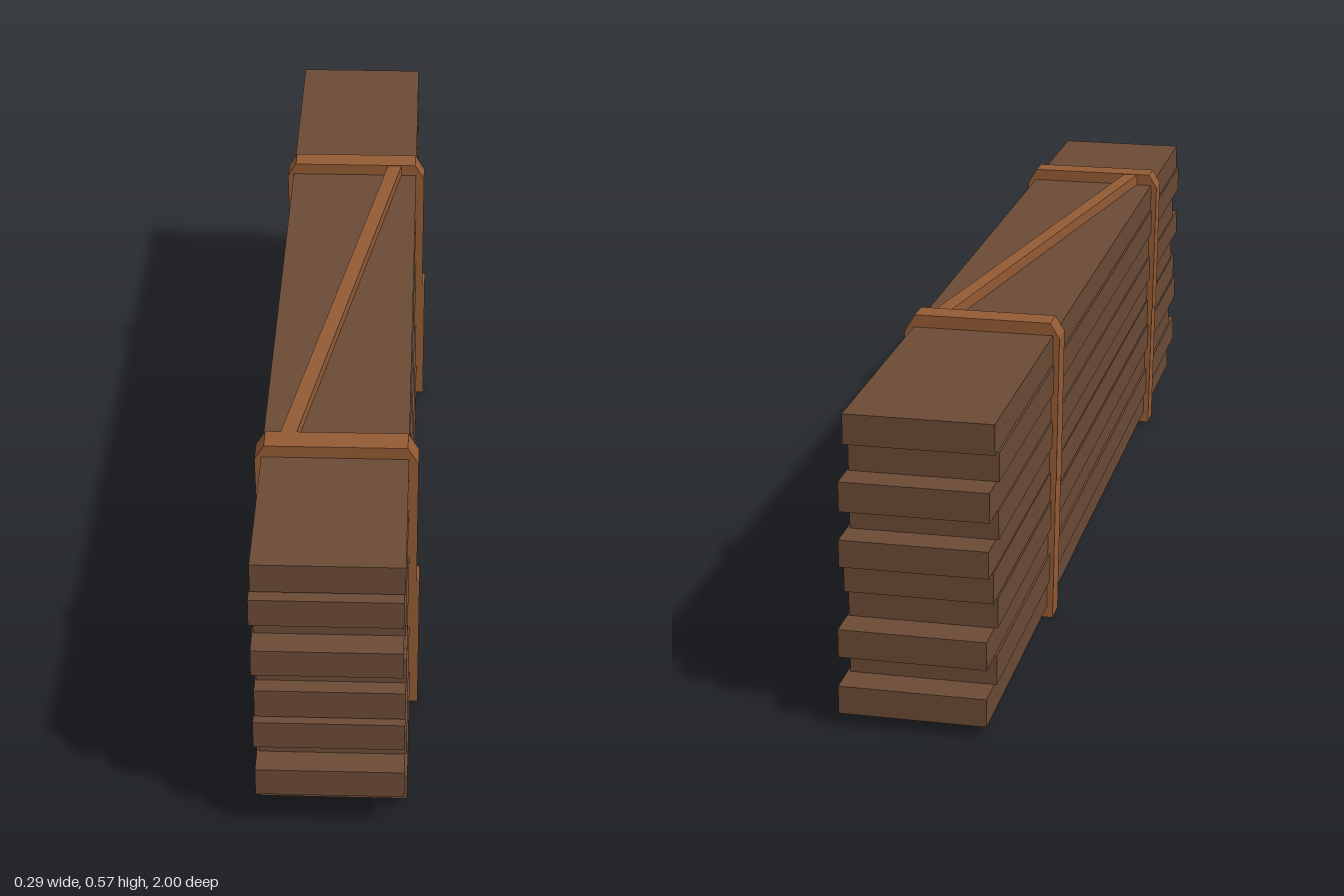
import * as THREE from 'three';

// Planks from bottom to top: [y bottom, y top, x min, x max, z min, z max]
const PLANKS = [
  [0.022, 0.073, -0.127, 0.131, -1.0, 0.94],
  [0.073, 0.127, -0.132, 0.126, -0.94, 0.995],
  [0.127, 0.178, -0.128, 0.129, -1.0, 0.945],
  [0.178, 0.231, -0.134, 0.126, -0.94, 0.995],
  [0.233, 0.288, -0.132, 0.126, -0.965, 0.98],
  [0.288, 0.337, -0.13, 0.127, -0.99, 0.95],
  [0.337, 0.388, -0.135, 0.122, -0.935, 1.0],
  [0.388, 0.441, -0.132, 0.125, -0.99, 0.95],
  [0.441, 0.493, -0.137, 0.122, -0.935, 1.0],
  [0.496, 0.55, -0.135, 0.124, -0.96, 0.98],
];

// Outer outline of a strap, with bevelled top corners and a step on each side
const STRAP_OUTER = [
  [-0.138, 0], [0.146, 0.004], [0.146, 0.28], [0.141, 0.286], [0.141, 0.541],
  [0.122, 0.573], [-0.13, 0.573], [-0.147, 0.545], [-0.143, 0.267], [-0.142, 0.262],
];
const STRAP_INNER = [[-0.125, 0.024], [-0.125, 0.548], [0.12, 0.548], [0.12, 0.024]];

const toVectors = (points) => points.map(([x, y]) => new THREE.Vector2(x, y));

export function createModel() {
  const group = new THREE.Group();
  const wood = new THREE.MeshStandardMaterial({ color: 0x6b4a35 });
  wood.name = 'dark wood';
  const strapping = new THREE.MeshStandardMaterial({ color: 0x935a34 });
  strapping.name = 'orange brown strapping';

  const add = (name, geometry, material) => {
    const mesh = new THREE.Mesh(geometry, material);
    mesh.name = name;
    group.add(mesh);
    return mesh;
  };

  // Stacked planks with uneven ends
  PLANKS.forEach(([y0, y1, x0, x1, z0, z1], i) => {
    const plank = add(`plank${i + 1}`, new THREE.BoxGeometry(x1 - x0, y1 - y0, z1 - z0), wood);
    plank.position.set((x0 + x1) / 2, (y0 + y1) / 2, (z0 + z1) / 2);
  });

  // Two straps around the stack, leaning slightly forward at the top
  const outline = new THREE.Shape(toVectors(STRAP_OUTER));
  outline.holes.push(new THREE.Path(toVectors(STRAP_INNER)));
  const depth = 0.048;
  const strapGeometry = new THREE.ExtrudeGeometry(outline, { depth, bevelEnabled: false });
  strapGeometry.translate(0, 0, -depth / 2);
  const pos = strapGeometry.attributes.position;
  for (let i = 0; i < pos.count; i++) pos.setZ(i, pos.getZ(i) + 0.022 * (pos.getY(i) - 0.286));
  strapGeometry.computeVertexNormals();
  add('frontStrap', strapGeometry, strapping).position.z = 0.627;
  add('backStrap', strapGeometry, strapping).position.z = -0.464;

  // Diagonal strap on top, joining the other two
  const from = new THREE.Vector3(-0.09, 0.561, 0.615);
  const to = new THREE.Vector3(0.082, 0.561, -0.455);
  const diagonal = add('diagonalStrap', new THREE.BoxGeometry(0.028, 0.022, from.distanceTo(to)), strapping);
  diagonal.position.copy(from).lerp(to, 0.5);
  diagonal.rotation.y = Math.atan2(to.x - from.x, to.z - from.z);

  return group;
}
